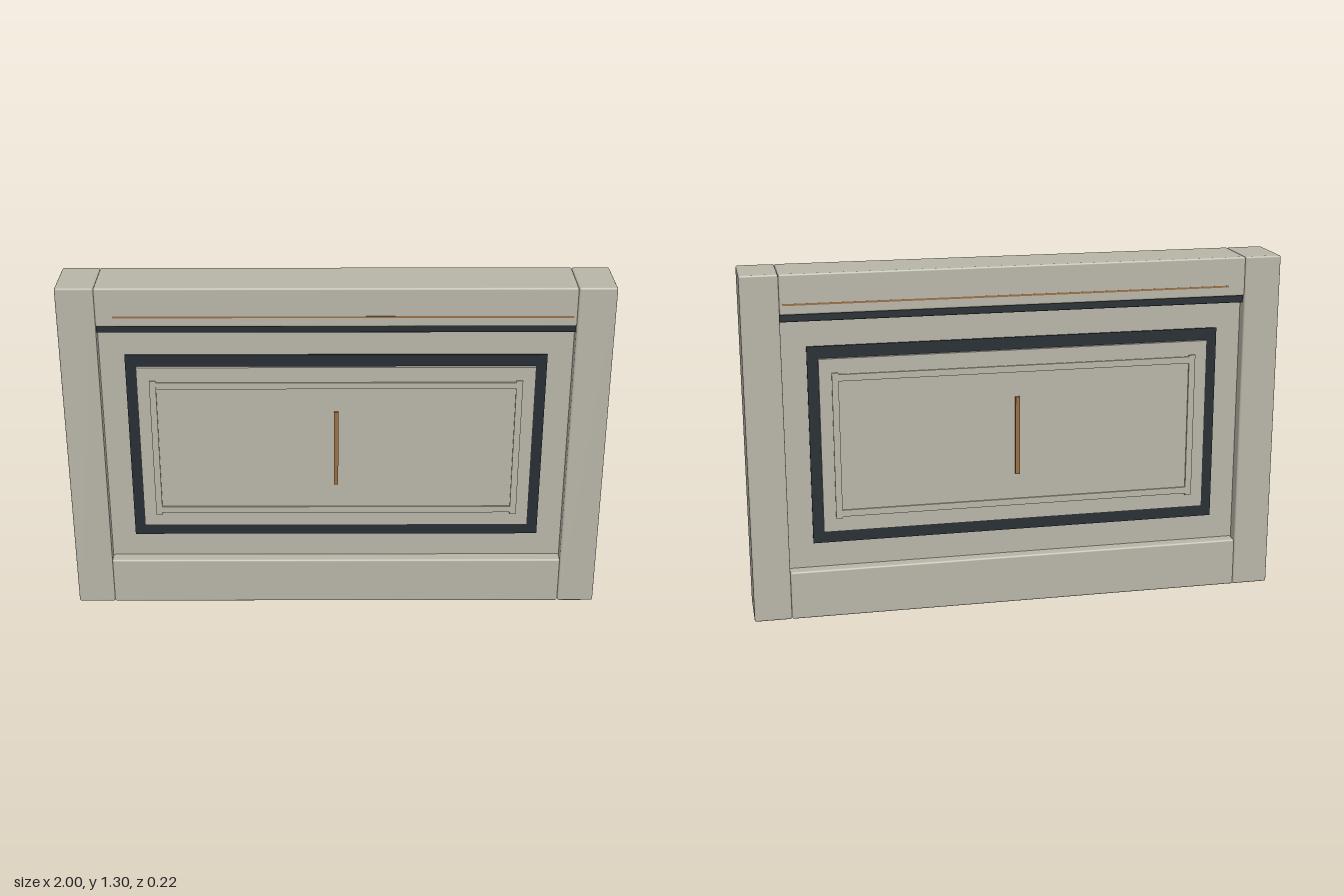
import * as THREE from 'three';
import { RoundedBoxGeometry } from 'three/addons/geometries/RoundedBoxGeometry.js';

const stone = new THREE.MeshStandardMaterial({ color: 0xb8b5a8 });
const dark = new THREE.MeshStandardMaterial({ color: 0x262d33 });
const bronze = new THREE.MeshStandardMaterial({ color: 0x9a7044 });

export function createModel() {
  const model = new THREE.Group();
  model.name = 'wallPanel';

  // Box between two x and two y limits, centred in z, so both faces match
  function slab(name, x0, x1, y0, y1, halfDepth, material, round = 0) {
    const size = [x1 - x0, y1 - y0, halfDepth * 2];
    const geometry = round
      ? new RoundedBoxGeometry(...size, 2, round)
      : new THREE.BoxGeometry(...size);
    const mesh = new THREE.Mesh(geometry, material);
    mesh.position.set((x0 + x1) / 2, (y0 + y1) / 2, 0);
    mesh.name = name;
    model.add(mesh);
  }

  // Outer frame: end posts and rails with softened edges
  slab('rightPost', -1, -0.862, 0, 1.3, 0.108, stone, 0.007);
  slab('leftPost', 0.862, 1, 0, 1.3, 0.108, stone, 0.007);
  slab('bottomRail', -0.862, 0.862, 0, 0.185, 0.108, stone, 0.007);
  slab('topRail', -0.862, 0.862, 1.153, 1.3, 0.108, stone, 0.007);

  // Recessed field
  slab('core', -0.865, 0.865, 0.17, 1.17, 0.062, stone);

  // Dark strip under the top rail and the fine inlay on the rail
  slab('shadowStrip', -0.862, 0.862, 1.125, 1.159, 0.095, dark, 0.005);
  slab('railInlay', -0.8, 0.85, 1.187, 1.194, 0.1083, bronze);

  // Dark backing shows as a border around the raised panel
  slab('darkBorder', -0.77, 0.77, 0.28, 1.027, 0.069, dark);
  slab('raisedPanel', -0.73, 0.73, 0.325, 0.982, 0.081, stone);

  // Moulding bars on the raised panel
  for (const s of [-1, 1]) {
    const x = s * 0.672, y = 0.653 + s * 0.258;
    slab('sideMoulding', x - 0.012, x + 0.012, 0.376, 0.93, 0.088, stone);
    slab('crossMoulding', -0.672, 0.672, y - 0.0125, y + 0.0125, 0.087, stone);
  }

  // Upright bronze bar in the centre
  slab('centreBar', -0.008, 0.008, 0.505, 0.805, 0.09, bronze);

  return model;
}
